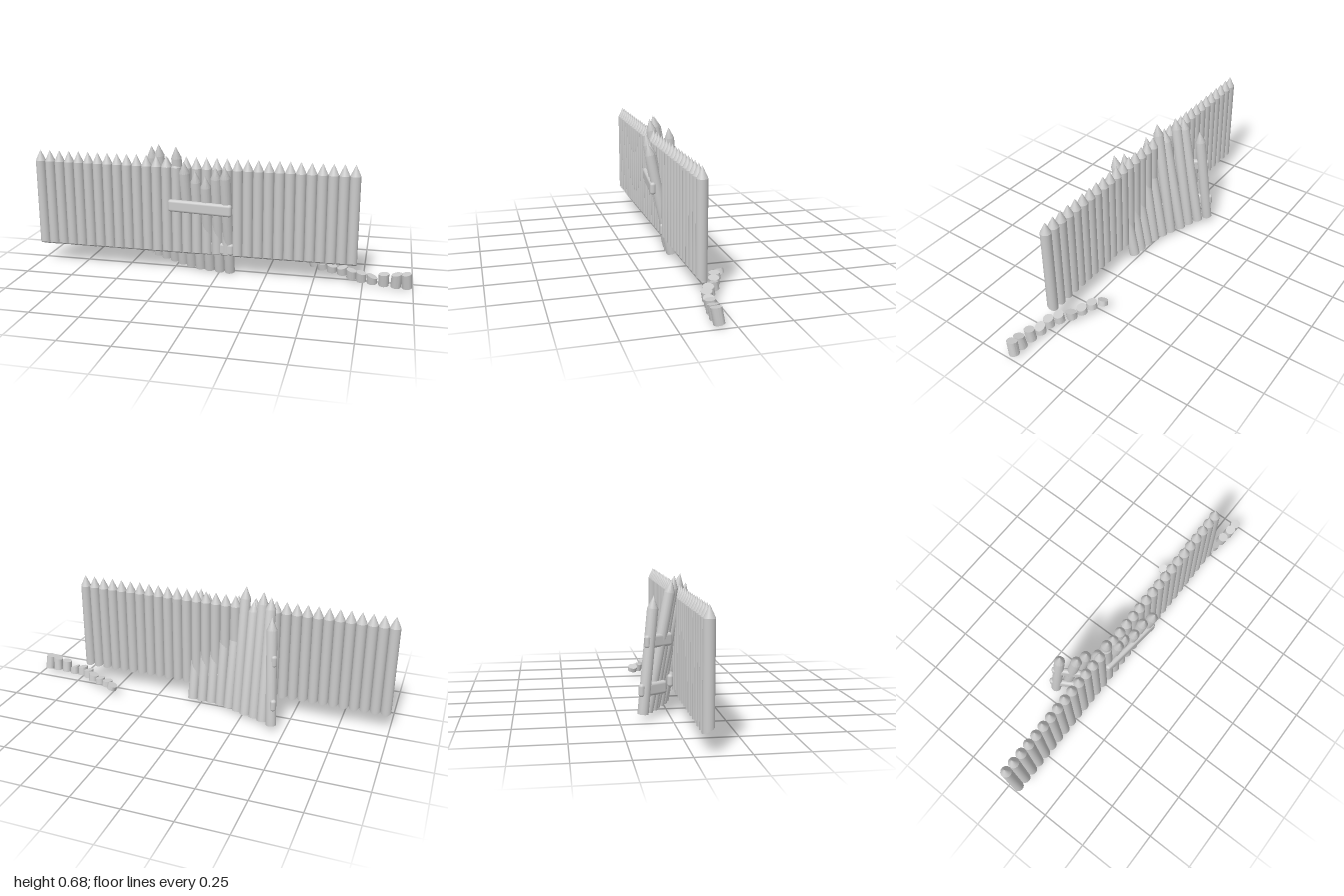
import * as THREE from 'three';
import { toCreasedNormals } from 'three/addons/utils/BufferGeometryUtils.js';
import { RoundedBoxGeometry } from 'three/addons/geometries/RoundedBoxGeometry.js';

const V = (x, y, z) => new THREE.Vector3(x, y, z);
const R = 0.027;

// Log of a given length standing on its origin, with an optional pointed tip
function logGeometry(length, tip, radius = R, cutBottom = 0, cutTop = [0, 0]) {
  const shoulder = length - tip;
  const profile = [[0, 0], [radius, 0], [radius, shoulder], [0, length]];
  const g = new THREE.LatheGeometry(profile.map(p => new THREE.Vector2(...p)), 16);
  const p = g.attributes.position;
  // Slanted saw cuts at the ends
  for (let i = 0; i < p.count; i++) {
    const y = p.getY(i);
    if (y < 0.001) p.setY(i, y + p.getZ(i) * cutBottom);
    else p.setY(i, y + p.getX(i) * cutTop[0] + p.getZ(i) * cutTop[1]);
  }
  return toCreasedNormals(g, 0.41);
}

export function createModel() {
  const model = new THREE.Group();
  model.name = 'brokenPalisade';
  const material = new THREE.MeshStandardMaterial({ color: 0xcccccc });

  const add = (parent, name, geometry) => {
    const mesh = new THREE.Mesh(geometry, material);
    mesh.name = name;
    parent.add(mesh);
    return mesh;
  };
  const section = name => {
    const g = new THREE.Group();
    g.name = name;
    model.add(g);
    return g;
  };

  // Straight wall of upright posts
  const wall = section('straightWall');
  const postGeometry = logGeometry(0.52, 0.058, R, 0.48);
  for (let i = 0; i < 32; i++) {
    add(wall, 'wallPost', postGeometry).position.set(-0.973 + i * 0.0537, 0.108, 0.064);
  }

  // Curved section of leaning posts: bottom and tip of each
  const leaning = section('leaningSection');
  const leaningPosts = [
    [-0.43, 0.033, -0.137, -0.40, 0.595, -0.08],
    [-0.375, 0.03, -0.108, -0.37, 0.665, 0.01],
    [-0.322, 0.026, -0.079, -0.325, 0.68, 0.03],
    [-0.268, 0.022, -0.06, -0.27, 0.62, 0.06],
    [-0.215, 0.018, -0.03, -0.22, 0.68, 0.075],
    [-0.162, 0.015, -0.008, -0.17, 0.612, 0.11],
    [-0.108, 0.013, 0.01, -0.113, 0.565, 0.1],
    [-0.055, 0.012, 0.018, -0.055, 0.545, 0.122],
    [0, 0.01, 0.025, 0, 0.595, 0.13],
    [0.055, 0.01, 0.028, 0.053, 0.605, 0.153],
  ];
  for (const [x0, y0, z0, x1, y1, z1] of leaningPosts) {
    const base = V(x0, y0, z0);
    const axis = V(x1, y1, z1).sub(base);
    const post = add(leaning, 'leaningPost', logGeometry(axis.length(), 0.062));
    post.position.copy(base);
    post.quaternion.setFromUnitVectors(V(0, 1, 0), axis.normalize());
  }

  // Cross rails holding the leaning posts
  const rails = [
    [V(-0.26, 0.372, 0.09), V(0.085, 0.372, 0.132)],
    [V(-0.26, 0.148, 0.02), V(0.085, 0.148, 0.08)],
    [V(-0.434, 0.38, -0.127), V(-0.355, 0.38, 0.01)],
    [V(-0.446, 0.15, -0.156), V(-0.37, 0.15, -0.02)],
  ];
  for (const [a, b] of rails) {
    const d = b.clone().sub(a);
    const rail = add(leaning, 'crossRail', new RoundedBoxGeometry(d.length(), 0.064, 0.03, 3, 0.014));
    rail.position.copy(a).add(b).multiplyScalar(0.5);
    rail.rotation.y = Math.atan2(-d.z, d.x);
  }

  // Curved row of broken stumps: x, z, bottom, height, sideways lean, top cut
  const stumps = section('stumpRow');
  const stumpData = [
    [0.492, -0.088, 0.042, 0.026, 0.3, 0.1],
    [0.537, -0.055, 0.036, 0.034, 0.15, -0.2],
    [0.588, -0.034, 0.033, 0.033, 0, -0.2],
    [0.642, -0.012, 0.031, 0.037, 0, 0.25],
    [0.692, 0.024, 0.027, 0.043, 0, -0.25],
    [0.742, 0.048, 0.024, 0.046, 0, -0.2],
    [0.797, 0.055, 0.02, 0.038, 0, -0.4],
    [0.855, 0.066, 0.018, 0.062, 0, 0.1],
    [0.915, 0.072, 0.016, 0.07, -0.05, 0.3],
    [0.97, 0.073, 0.016, 0.076, 0.08, 0.1],
  ];
  for (const [x, z, y, height, lean, cut] of stumpData) {
    const stump = add(stumps, 'stump', logGeometry(height, 0, 0.026, 0, [cut, 0.1]));
    stump.position.set(x, y, z);
    stump.rotation.set(0.17, 0, lean);
  }

  return model;
}
